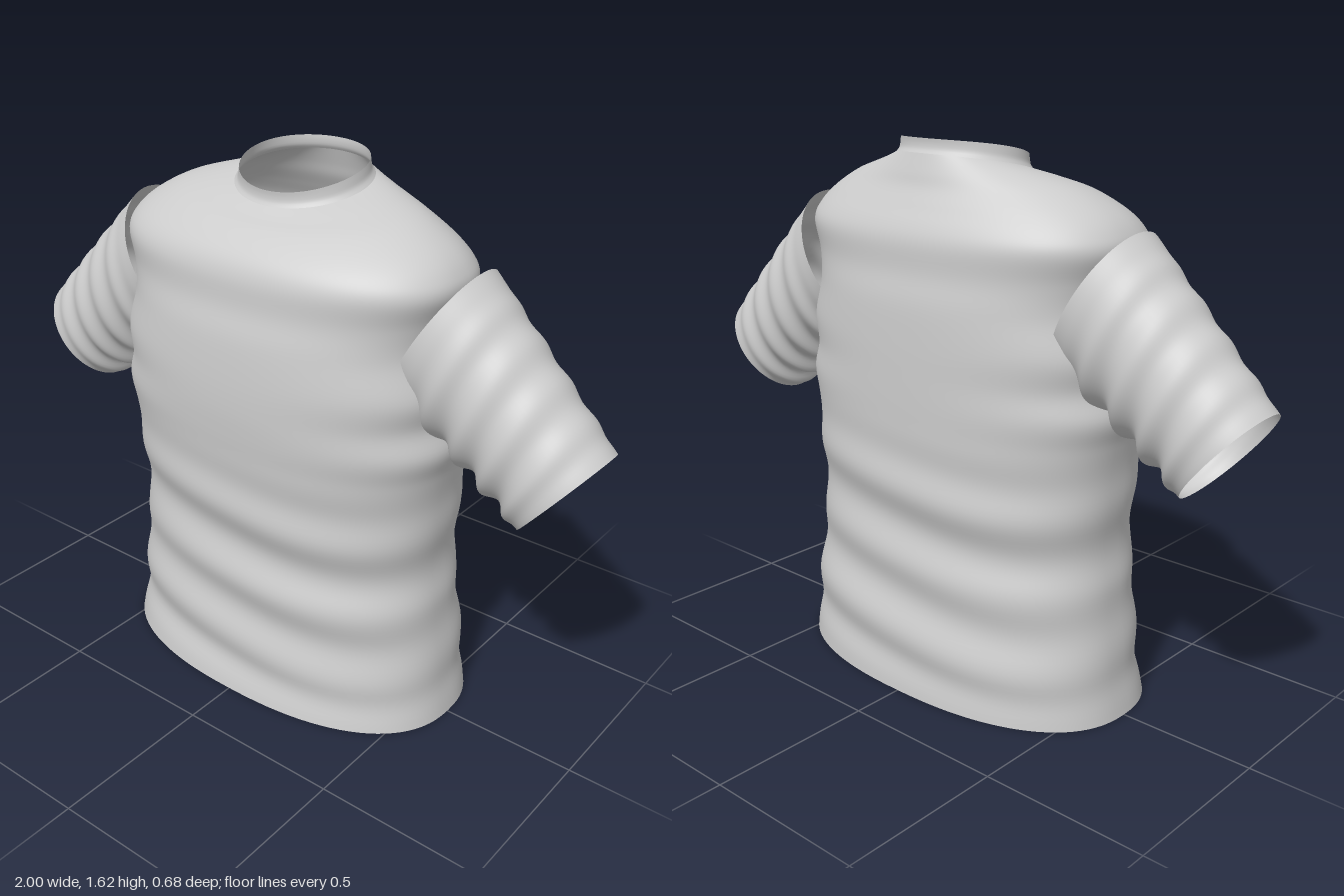
import * as THREE from 'three';

const fabric = new THREE.MeshStandardMaterial({ color: 0xcccccc, side: THREE.DoubleSide });
fabric.name = 'greyFabric';

// Smooth open tube skinned over closed rings; point(t, angle) gives [x, y, z].
function loft(name, rings, sides, point) {
  const pos = [], index = [];
  for (let i = 0; i <= rings; i++) {
    for (let j = 0; j < sides; j++) pos.push(...point(i / rings, (j / sides) * Math.PI * 2));
  }
  for (let i = 0; i < rings; i++) {
    for (let j = 0; j < sides; j++) {
      const k = (j + 1) % sides;
      const a = i * sides + j, b = i * sides + k, c = b + sides, d = a + sides;
      index.push(a, d, c, a, c, b);
    }
  }
  const geo = new THREE.BufferGeometry();
  geo.setAttribute('position', new THREE.Float32BufferAttribute(pos, 3));
  geo.setIndex(index);
  geo.computeVertexNormals();
  const mesh = new THREE.Mesh(geo, fabric);
  mesh.name = name;
  return mesh;
}

const curve = (pts) => new THREE.CatmullRomCurve3(pts.map((p) => new THREE.Vector3(...p)), false, 'catmullrom', 0.5);
const smooth = THREE.MathUtils.smoothstep;
const lerp = THREE.MathUtils.lerp;
const power = (v, e) => Math.sign(v) * Math.abs(v) ** e;

// Cross-sections, hem to neck: height, half width, front z, back z, tilt, sag
const bodyRows = [
  [0, 0.588, 0.335, -0.34, 0, 0],
  [0.12, 0.568, 0.315, -0.332, 0, 0],
  [0.25, 0.555, 0.313, -0.327, 0, 0],
  [0.38, 0.54, 0.313, -0.318, 0, 0],
  [0.48, 0.525, 0.308, -0.314, 0, 0],
  [0.6, 0.532, 0.316, -0.32, 0, 0],
  [0.72, 0.537, 0.326, -0.323, 0, 0],
  [0.82, 0.548, 0.333, -0.324, 0, 0],
  [0.9, 0.565, 0.34, -0.325, 0, 0],
  [0.98, 0.542, 0.344, -0.325, 0, 0],
  [1.07, 0.553, 0.342, -0.324, 0, 0],
  [1.18, 0.52, 0.333, -0.32, 0, 0],
  [1.27, 0.53, 0.318, -0.31, 0, 0],
  [1.35, 0.556, 0.302, -0.298, 0, 0],
  [1.4, 0.54, 0.284, -0.284, 0, 0],
  [1.45, 0.49, 0.255, -0.262, 0.005, 0.01],
  [1.5, 0.4, 0.215, -0.238, 0.013, 0.022],
  [1.53, 0.3, 0.175, -0.225, 0.024, 0.022],
  [1.55, 0.208, 0.14, -0.208, 0.038, 0.007],
];
const bodySize = curve(bodyRows.map((r) => [r[0], r[1], r[2]]));
const bodyLean = curve(bodyRows.map((r) => [r[3], r[4], r[5]]));

function bodyPoint(t, angle) {
  const size = bodySize.getPoint(t), lean = bodyLean.getPoint(t);
  const round = lerp(2 / 2.35, 1, smooth(size.x, 1.35, 1.55));
  const c = power(Math.cos(angle), round), s = power(Math.sin(angle), round);
  const zMid = (size.z + lean.x) / 2, zHalf = (size.z - lean.x) / 2;
  const x = size.y * c, y = size.x;
  // Slanted drape folds around the lower body, and a soft crease across the chest
  const low = smooth(y, 0, 0.15) * (1 - smooth(y, 0.6, 0.85));
  const fold = 0.011 * low * Math.cos(((y + 0.13 * x * s - 0.65) / 0.23) * Math.PI * 2);
  const chest = 0.006 * Math.exp(-(((y - 1.36) / 0.05) ** 2)) - 0.004 * Math.exp(-(((y - 1.26) / 0.05) ** 2));
  return [x + fold * 0.3 * c, y - lean.y * s - lean.z * s * s, zMid + (zHalf + fold + chest) * s];
}

// Neckband: height, half width, half depth, tilt
const collarRows = curve([[1.55, 0.208, 0.174], [1.563, 0.198, 0.167], [1.58, 0.194, 0.165], [1.595, 0.191, 0.166]]);
function collarPoint(t, angle) {
  const p = collarRows.getPoint(t);
  const s = Math.sin(angle);
  return [p.y * Math.cos(angle), p.x - 0.038 * s - lerp(0.007, 0.012, t) * s * s, -0.034 + p.z * s];
}

// Sleeve between the shoulder opening and the cuff; creases deepen underneath
function sleevePoint(side) {
  const under = curve([[0.38, 1.02, 0], [0.47, 0.96, 0], [0.56, 0.9, 0], [0.64, 0.845, 0], [0.71, 0.79, 0], [0.78, 0.735, 0]]);
  return (t, angle) => {
    const top = [lerp(0.6, 1, t), lerp(1.41, 1, t)];
    const low = under.getPoint(t);
    const c = Math.cos(angle), s = Math.sin(angle);
    const k = (1 + c) / 2;
    const depth = (1 - c) / 2;
    const fade = smooth(t, 0.05, 0.25) * (1 - smooth(t, 0.85, 1));
    const crease = fade * (0.003 + 0.013 * depth) * Math.cos((t * 4.6 + 0.25 * c) * Math.PI * 2);
    const z = -0.018 - side * s * (lerp(0.185, 0.148, t) + crease * 0.7);
    return [
      side * (lerp(low.x, top[0], k) + crease * c * 0.65),
      lerp(low.y, top[1], k) + crease * c * 0.75,
      z,
    ];
  };
}

export function createModel() {
  const group = new THREE.Group();
  group.name = 'shirt';
  group.add(
    loft('body', 120, 96, bodyPoint),
    loft('collar', 8, 96, collarPoint),
    loft('leftSleeve', 60, 64, sleevePoint(1)),
    loft('rightSleeve', 60, 64, sleevePoint(-1)),
  );
  return group;
}
